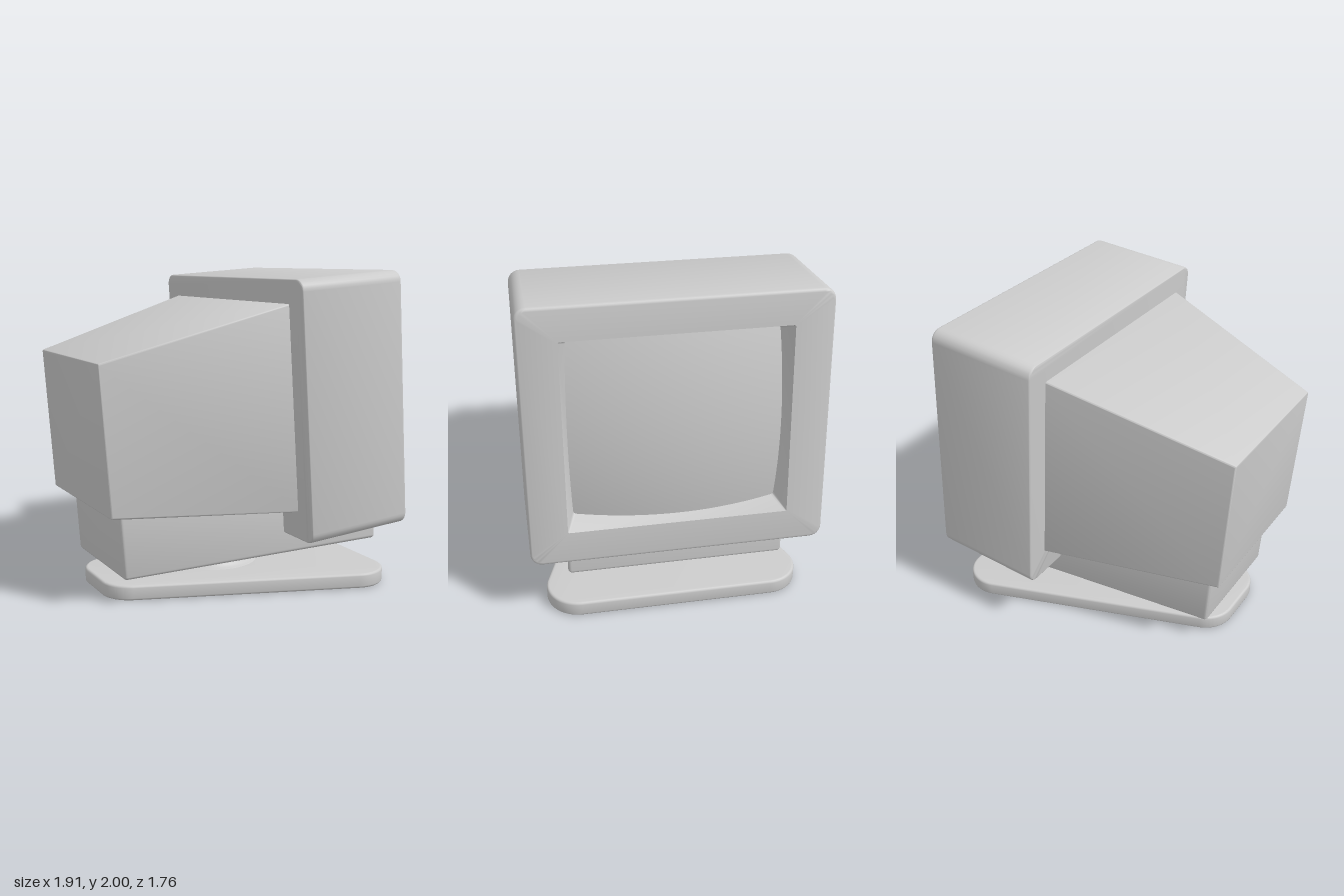
import * as THREE from 'three';
import { toCreasedNormals } from 'three/addons/utils/BufferGeometryUtils.js';

const material = new THREE.MeshStandardMaterial({ color: 0xcccccc });

function addMesh(parent, name, geometry) {
  const mesh = new THREE.Mesh(geometry, material);
  mesh.name = name;
  parent.add(mesh);
  return mesh;
}

// Rounded rectangle across the x axis, counter-clockwise seen from +x
function ring({ x, half, low, high, r }, inset = 0, dx = 0) {
  const points = [], steps = 6;
  const rad = Math.max(r - inset, 0.003);
  const h = half - inset - rad, lo = low + inset + rad, hi = high - inset - rad;
  const centres = [[hi, h], [lo, h], [lo, -h], [hi, -h]];
  centres.forEach(([y, z], corner) => {
    for (let i = 0; i <= steps; i++) {
      const a = (corner + i / steps) * Math.PI / 2;
      points.push([x + dx, y + rad * Math.cos(a), z + rad * Math.sin(a)]);
    }
  });
  return points;
}

// Rings that round off one end of a block; end is -1 (back) or 1 (front)
function roundedEnd(section, bevel, end) {
  const rings = [];
  for (let i = 0; i <= 4; i++) {
    const a = (i / 4) * Math.PI / 2;
    rings.push(ring(section, bevel * (1 - Math.cos(a)), -end * bevel * (1 - Math.sin(a))));
  }
  return end < 0 ? rings.reverse() : rings;
}

// Skin a list of rings and close both ends
function loft(rings) {
  const n = rings[0].length, positions = rings.flat(2), index = [];
  for (let i = 0; i < rings.length - 1; i++) {
    for (let j = 0; j < n; j++) {
      const a = i * n + j, b = i * n + (j + 1) % n;
      index.push(a, b, b + n, a, b + n, a + n);
    }
  }
  const last = (rings.length - 1) * n;
  for (let j = 1; j < n - 1; j++) {
    index.push(0, j + 1, j, last, last + j, last + j + 1);
  }
  const geometry = new THREE.BufferGeometry();
  geometry.setAttribute('position', new THREE.Float32BufferAttribute(positions, 3));
  geometry.setIndex(index);
  return toCreasedNormals(geometry, 0.6);
}

const block = (back, front, bevel) =>
  loft([...roundedEnd(back, bevel, -1), ...roundedEnd(front, bevel, 1)]);

// Footplate: wide at the screen end, narrow at the other
function footplate() {
  const r = 0.2, fx = 0.74, fz = 0.59, bx = -0.62, bz = 0.12, bevel = 0.015;
  const n = Math.PI / 2 + Math.atan2(fz - bz, fx - bx);
  const shape = new THREE.Shape();
  shape.absarc(fx, fz, r, 0, n);
  shape.absarc(bx, bz, r, n, Math.PI);
  shape.absarc(bx, -bz, r, Math.PI, 2 * Math.PI - n);
  shape.absarc(fx, -fz, r, 2 * Math.PI - n, 2 * Math.PI);
  const geometry = new THREE.ExtrudeGeometry(shape, {
    depth: 0.095 - 2 * bevel, curveSegments: 14,
    bevelSize: bevel, bevelThickness: bevel, bevelOffset: -bevel, bevelSegments: 3,
  });
  geometry.rotateX(-Math.PI / 2).translate(0, bevel, 0);
  return toCreasedNormals(geometry, 0.6);
}

// Bulging glass, its rim buried in the walls of the recess
function glass() {
  const geometry = new THREE.PlaneGeometry(1.29, 1.17, 24, 24);
  const p = geometry.attributes.position;
  for (let i = 0; i < p.count; i++) {
    const a = p.getX(i), b = p.getY(i);
    p.setXYZ(i, 0.965 - 0.2 * a * a - 0.17 * b * b, 1.145 + b, -a);
  }
  geometry.computeVertexNormals();
  return geometry;
}

export function createModel() {
  const model = new THREE.Group();
  model.name = 'monitor';

  addMesh(model, 'footplate', footplate());

  // Swivel neck with a flared foot
  const profile = [[0.3, 0.09]];
  for (let i = 0; i <= 6; i++) {
    const a = (i / 6) * Math.PI / 2;
    profile.push([0.3 - 0.06 * Math.sin(a), 0.155 - 0.06 * Math.cos(a)]);
  }
  profile.push([0.24, 0.3]);
  const neck = new THREE.LatheGeometry(profile.map(([x, y]) => new THREE.Vector2(x, y)), 48);
  addMesh(model, 'neck', neck).position.x = 0.02;

  // Everything above the neck leans back by four degrees
  const head = new THREE.Group();
  head.name = 'tiltingHead';
  head.rotation.z = THREE.MathUtils.degToRad(4);
  model.add(head);

  addMesh(head, 'lowerHousing', block(
    { x: -0.757, half: 0.385, low: 0.214, high: 0.665, r: 0.025 },
    { x: 0.893, half: 0.66, low: 0.214, high: 0.47, r: 0.025 }, 0.02));

  addMesh(head, 'rearHousing', block(
    { x: -0.852, half: 0.49, low: 0.641, high: 1.553, r: 0.012 },
    { x: 0.3, half: 0.737, low: 0.525, high: 1.797, r: 0.012 }, 0.01));

  // Screen surround with a tapering recess
  const outer = { half: 0.88, low: 0.352, high: 1.937, r: 0.07 };
  addMesh(head, 'bezel', loft([
    ...roundedEnd({ ...outer, x: 0.265 }, 0.012, -1),
    ...roundedEnd({ ...outer, x: 0.978 }, 0.02, 1),
    ring({ x: 0.978, half: 0.655, low: 0.555, high: 1.737, r: 0.01 }),
    ring({ x: 0.8, half: 0.595, low: 0.615, high: 1.677, r: 0.02 }),
  ]));

  addMesh(head, 'screen', glass());
  return model;
}
